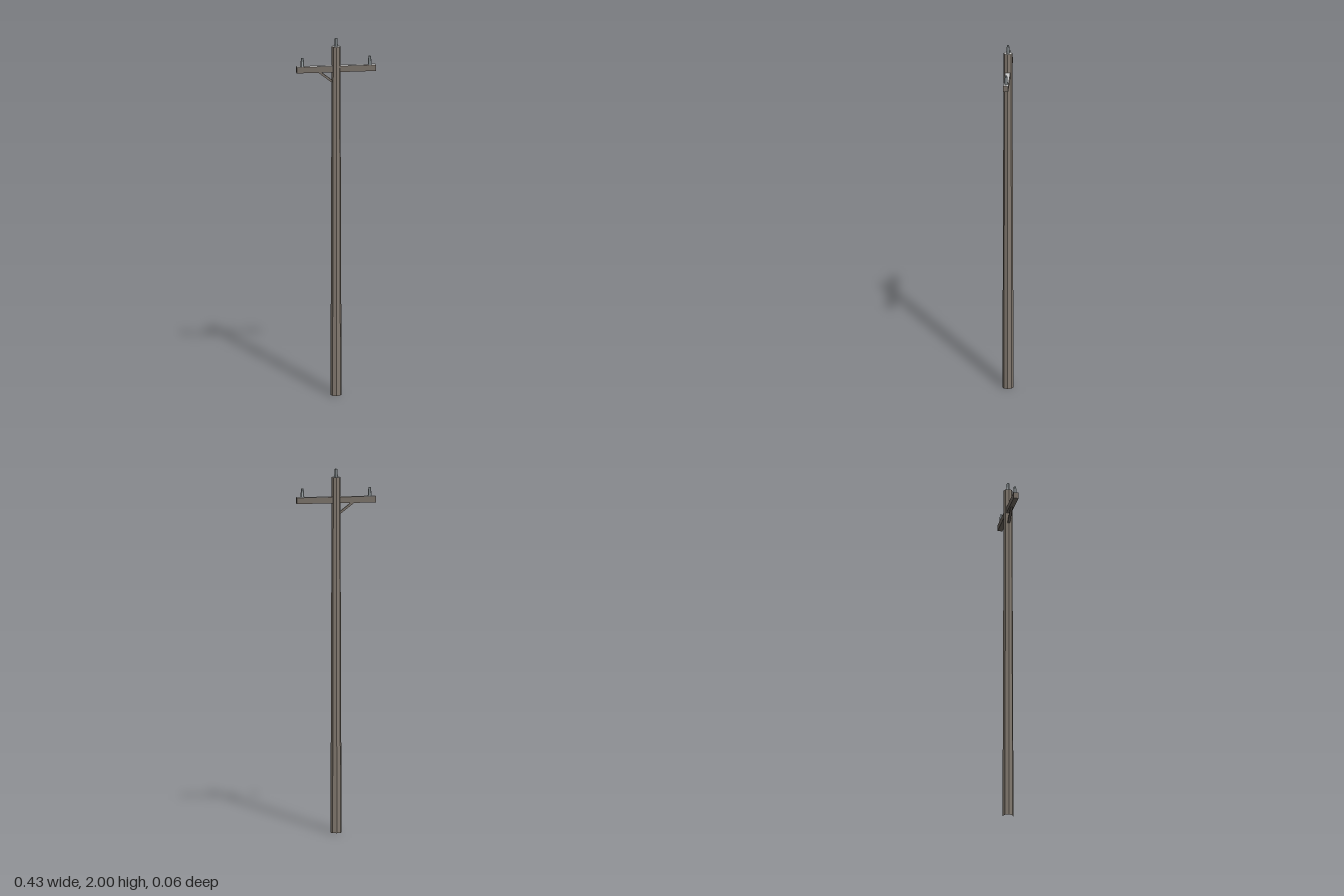
import * as THREE from 'three';

const paint = (color) => new THREE.MeshStandardMaterial({ color, flatShading: true });
const poleWood = paint(0x82796f);
const armWood = paint(0x766e66);
const weatheredTop = paint(0xc4c6c8);
const insulatorGrey = paint(0x959da0);

function part(name, geometry, material, x, y) {
  const mesh = new THREE.Mesh(geometry, material);
  mesh.name = name;
  mesh.position.set(x, y, 0);
  return mesh;
}

export function createModel() {
  const group = new THREE.Group();
  group.name = 'utilityPole';

  // Tapered octagonal pole, open at the foot, with a pale flat top
  const poleHeight = 1.955, topRadius = 0.024;
  group.add(part('pole', new THREE.CylinderGeometry(topRadius, 0.0305, poleHeight, 8, 1, true), poleWood, 0, poleHeight / 2));
  group.add(part('poleTop', new THREE.CircleGeometry(topRadius, 8).rotateX(-Math.PI / 2), weatheredTop, 0, poleHeight));

  // Crossarm through the pole, pale on its upper face
  const armTop = 1.847, armHeight = 0.034;
  const armFaces = [armWood, armWood, weatheredTop, armWood, armWood, armWood];
  group.add(part('crossarm', new THREE.BoxGeometry(0.434, armHeight, 0.027), armFaces, 0, armTop - armHeight / 2));

  // Diagonal brace under one side of the crossarm
  const from = new THREE.Vector2(-0.102, 1.822), to = new THREE.Vector2(-0.01, 1.75);
  const mid = from.clone().add(to).multiplyScalar(0.5);
  const brace = part('brace', new THREE.BoxGeometry(from.distanceTo(to), 0.012, 0.012), armWood, mid.x, mid.y);
  brace.rotation.z = Math.atan2(to.y - from.y, to.x - from.x);
  group.add(brace);

  // Hexagonal tapered insulators: two on the arm, one on the pole top
  const pinHeight = 0.048;
  const pin = new THREE.CylinderGeometry(0.007, 0.011, pinHeight, 6).rotateY(Math.PI / 6);
  const pins = [['leftInsulator', 0.185, armTop], ['rightInsulator', -0.185, armTop], ['topInsulator', 0, 2 - pinHeight]];
  for (const [name, x, base] of pins) group.add(part(name, pin, insulatorGrey, x, base + pinHeight / 2));

  return group;
}
